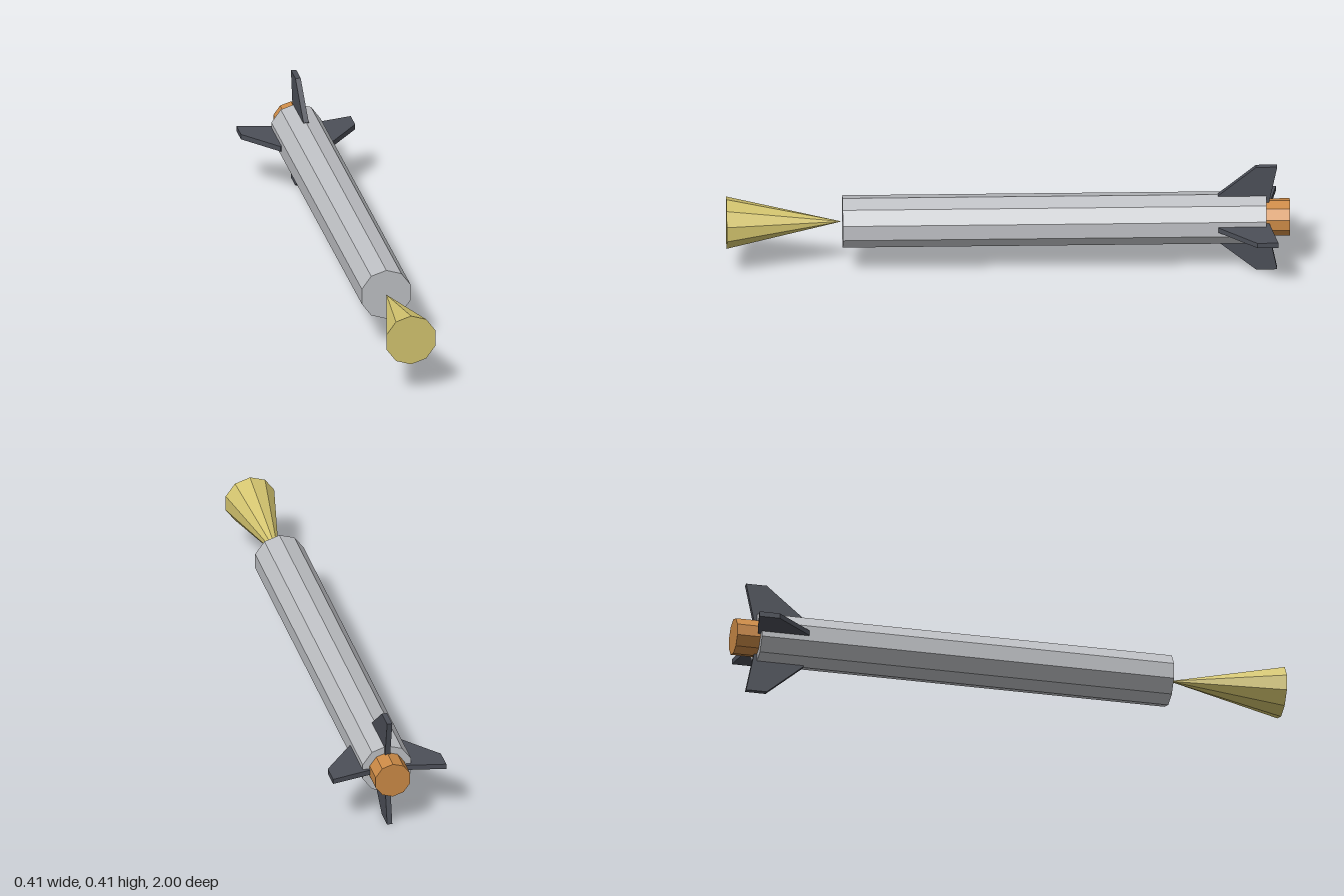
import * as THREE from 'three';

const SIDES = 10;
const FIN_THICKNESS = 0.019;

function material(name, color) {
  const m = new THREE.MeshStandardMaterial({ color });
  m.name = name;
  return m;
}

// Ten-sided solid lying along z, from zBack to zFront
function tube(name, rBack, rFront, zBack, zFront, mat) {
  const geometry = new THREE.CylinderGeometry(rFront, rBack, zFront - zBack, SIDES).toNonIndexed();
  geometry.rotateX(Math.PI / 2);
  geometry.computeVertexNormals(); // one normal per facet
  const mesh = new THREE.Mesh(geometry, mat);
  mesh.name = name;
  mesh.position.z = (zBack + zFront) / 2;
  return mesh;
}

export function createModel() {
  const bodyGrey = material('bodyGrey', 0xbfc1c5);
  const coneYellow = material('coneYellow', 0xd4c56f);
  const nozzleOrange = material('nozzleOrange', 0xcd8b47);
  const finCharcoal = material('finCharcoal', 0x4c4f58);

  const rocket = new THREE.Group();
  rocket.name = 'rocket';
  rocket.position.y = 0.2078;

  // Body, nozzle and the cone whose tip meets the body
  rocket.add(tube('body', 0.0935, 0.0935, -0.916, 0.588, bodyGrey));
  rocket.add(tube('nozzle', 0.0665, 0.0665, -1, -0.916, nozzleOrange));
  rocket.add(tube('cone', 0, 0.0935, 0.591, 1, coneYellow));

  // Swept fin outline: x is distance from the axis, y is z
  const outline = new THREE.Shape([
    [0.064, -0.926], [0.2075, -0.955], [0.2075, -0.88], [0.0935, -0.745], [0.064, -0.745],
  ].map(([r, z]) => new THREE.Vector2(r, z)));
  const finGeometry = new THREE.ExtrudeGeometry(outline, { depth: FIN_THICKNESS, bevelEnabled: false });
  finGeometry.translate(0, 0, -FIN_THICKNESS / 2);
  finGeometry.rotateX(Math.PI / 2);

  const fins = new THREE.Group();
  fins.name = 'fins';
  ['leftFin', 'topFin', 'rightFin', 'bottomFin'].forEach((name, i) => {
    const fin = new THREE.Mesh(finGeometry, finCharcoal);
    fin.name = name;
    fin.rotation.z = (i * Math.PI) / 2;
    fins.add(fin);
  });
  rocket.add(fins);

  const model = new THREE.Group();
  model.add(rocket);
  return model;
}
